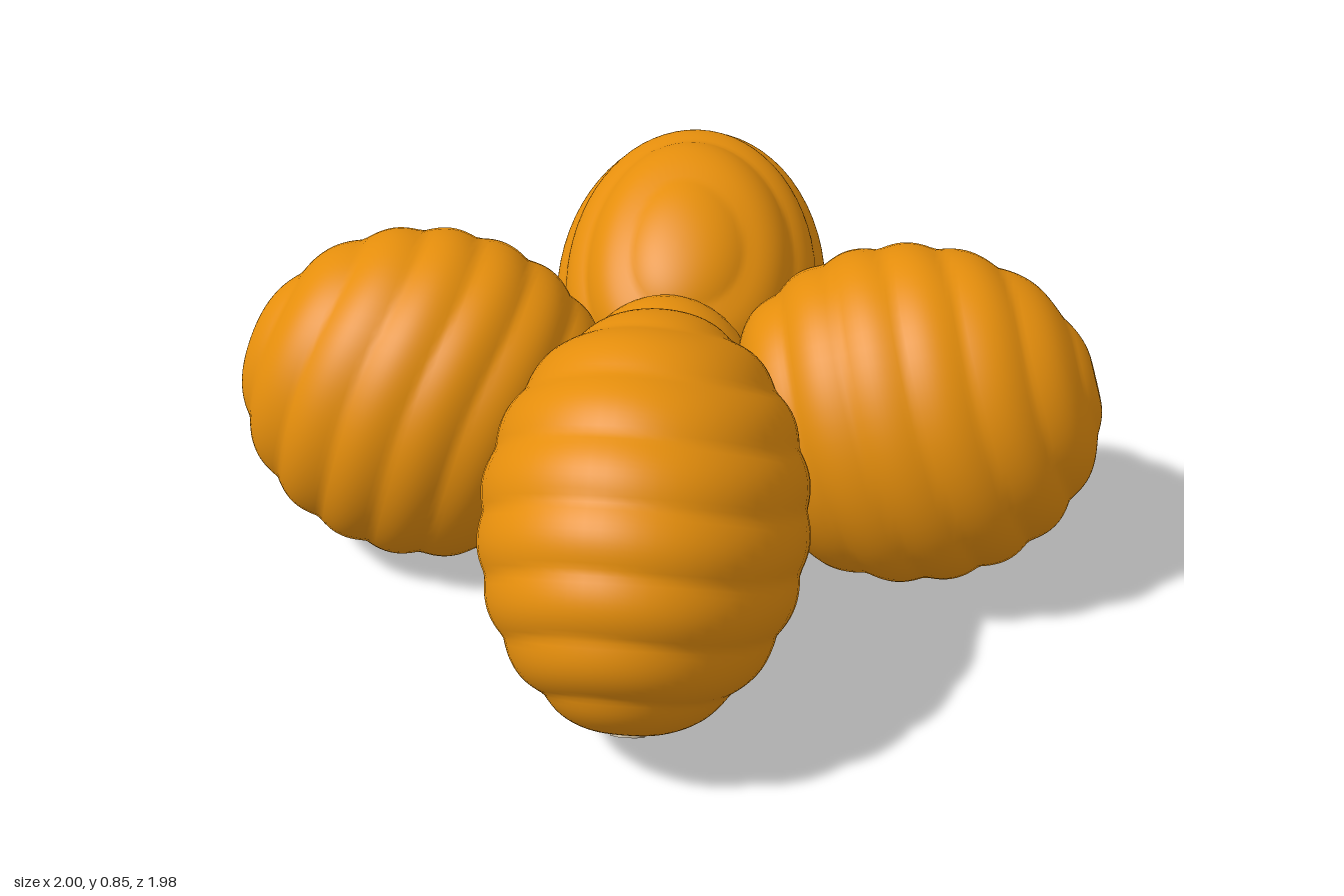
import * as THREE from 'three';
import { mergeVertices } from 'three/addons/utils/BufferGeometryUtils.js';

const rind = new THREE.MeshStandardMaterial({ name: 'amber rind', color: 0xe58e0c });
const scar = new THREE.MeshStandardMaterial({ name: 'pale stem scar', color: 0xbcb09a });

// Unit ball with soft, wavering rings around +y and a shallow dimple at the top pole.
function ringedBall(seed) {
  let geo = new THREE.SphereGeometry(1, 64, 110);
  geo.deleteAttribute('uv');
  geo.deleteAttribute('normal');
  geo = mergeVertices(geo, 1e-5);
  const p = geo.attributes.position;
  for (let i = 0; i < p.count; i++) {
    const x = p.getX(i), u = p.getY(i), z = p.getZ(i);
    const rho = Math.hypot(x, z);
    const a = Math.atan2(z, x);
    // the waver fades at both poles so the rings close cleanly
    const waver = rho * (0.2 * Math.sin(a + seed) + 0.1 * Math.sin(3 * a + seed * 2));
    const lat = Math.asin(THREE.MathUtils.clamp(u, -1, 1)) / (Math.PI / 2);
    const phase = 3.9 * (0.6 * u + 0.4 * lat) + waver + seed * 0.3;
    const ridge = Math.abs(Math.sin(Math.PI * phase));
    const swell = 1.012 + 0.03 * (ridge - 1) * Math.min(1, rho * 2);
    const dimple = u > 0 ? 0.02 * Math.exp(-((rho / 0.12) ** 2)) : 0;
    p.setXYZ(i, x * swell, u * swell - dimple, z * swell);
  }
  return geo;
}

// One lobe: tilt leans the rings, size is the half width, height and length, heading turns it about the hub.
function lobe(name, o) {
  const arm = new THREE.Group();
  arm.name = name;
  const addPart = (geo, material, part) => {
    geo.rotateX(Math.PI / 2 - THREE.MathUtils.degToRad(o.tilt));
    geo.scale(...o.size);
    geo.computeVertexNormals();
    const mesh = new THREE.Mesh(geo, material);
    mesh.name = name + part;
    mesh.position.set(0, o.y, o.out);
    arm.add(mesh);
  };
  addPart(ringedBall(o.seed), rind, 'Skin');
  if (o.scar) {
    const disc = new THREE.CylinderGeometry(0.105, 0.105, 0.012, 7);
    disc.translate(0, 1.0, 0);
    addPart(disc, scar, 'StemScar');
  }
  arm.rotation.y = o.heading;
  arm.position.x = o.shift;
  return arm;
}

export function createModel() {
  const model = new THREE.Group();
  model.name = 'ridgedLobeCluster';

  // front and back lobes have rings facing down and outward, ending in a pale scar
  const drooping = { size: [0.342, 0.417, 0.485], tilt: -48, y: 0.428, out: 0.5, shift: 0.015, scar: true };
  model.add(lobe('frontLobe', { ...drooping, heading: 0, seed: 0.4 }));
  model.add(lobe('backLobe', { ...drooping, heading: Math.PI, seed: 1.1 }));

  // side lobes have rings facing gently up and outward
  const rising = { size: [0.36, 0.395, 0.435], tilt: 17, out: 0.562, shift: 0 };
  model.add(lobe('leftLobe', { ...rising, y: 0.418, heading: Math.PI / 2, seed: 2.0 }));
  model.add(lobe('rightLobe', { ...rising, y: 0.402, heading: -Math.PI / 2, seed: 2.8 }));

  // hub where the lobes meet
  const hub = new THREE.Mesh(new THREE.SphereGeometry(1, 32, 24), rind);
  hub.name = 'hub';
  hub.scale.set(0.22, 0.25, 0.22);
  hub.position.y = 0.42;
  model.add(hub);

  return model;
}
